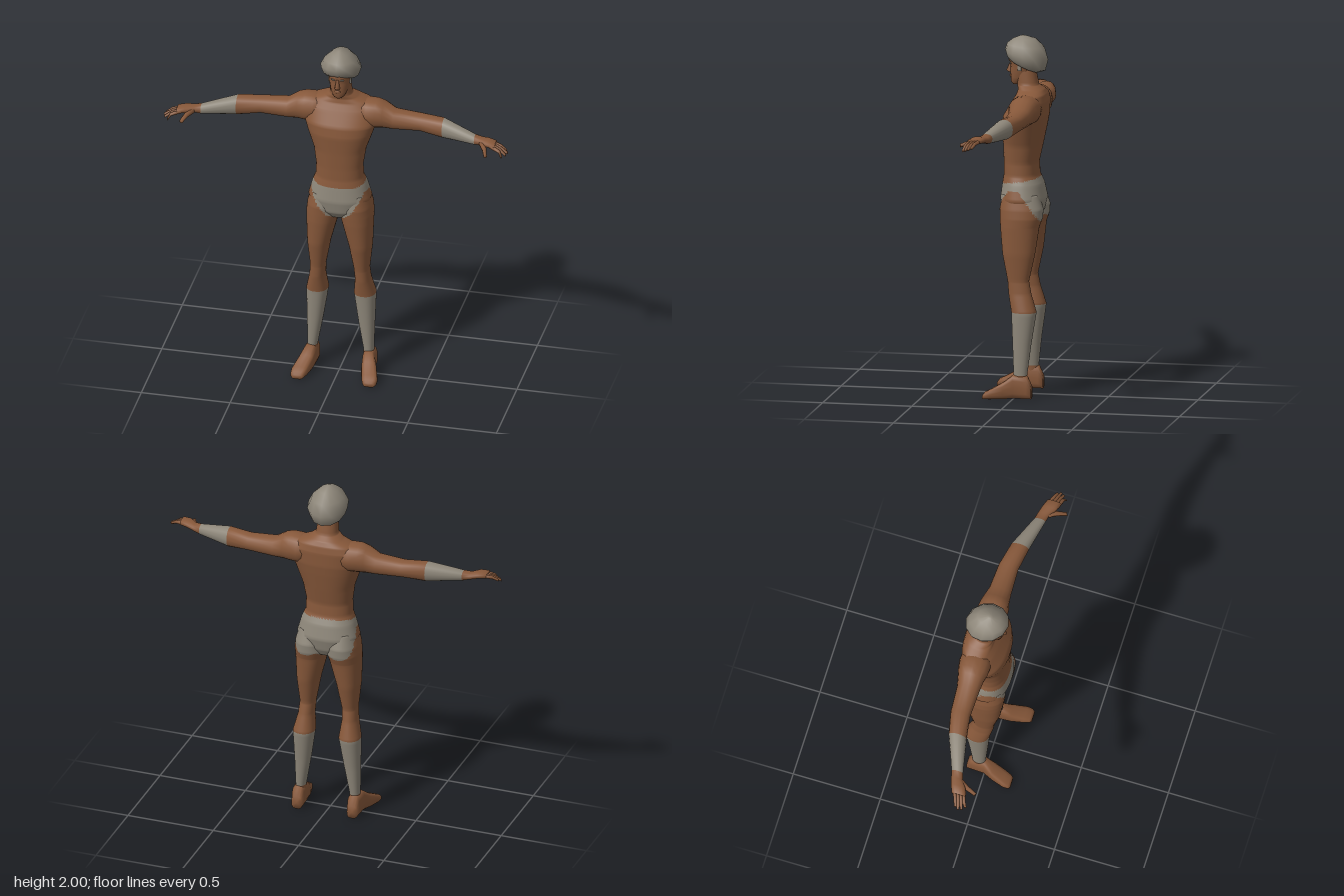
import * as THREE from 'three';

const skin = new THREE.MeshStandardMaterial({ color: 0x87583a });
skin.name = 'skin';
const cloth = new THREE.MeshStandardMaterial({ color: 0x8d8679 });
cloth.name = 'greyCloth';

const V = (x, y, z) => new THREE.Vector3(x, y, z);

// Insert evenly spaced rows between the given ones
function refine(rows, n) {
  const out = [];
  for (let i = 0; i < rows.length - 1; i++)
    for (let k = 0; k < n; k++)
      out.push(rows[i].map((a, j) => a + (rows[i + 1][j] - a) * k / n));
  out.push(rows[rows.length - 1]);
  return out;
}

// Skin a closed tube over rings {c, u, v}; the rule picks cloth (true) or skin by face centre
function loft(name, rings, { sides = 14, power = 2, base = skin, rule = null, minY = -1 } = {}) {
  const pos = [], faces = [[], []];
  const sp = t => Math.sign(t) * Math.abs(t) ** (2 / power);
  for (const r of rings)
    for (let j = 0; j < sides; j++) {
      const a = 2 * Math.PI * j / sides;
      const p = r.c.clone().addScaledVector(r.u, sp(Math.cos(a))).addScaledVector(r.v, sp(Math.sin(a)));
      pos.push(p.x, Math.max(p.y, minY), p.z);
    }
  const last = rings.length - 1;
  for (const r of [rings[0], rings[last]]) pos.push(r.c.x, r.c.y, r.c.z);
  const along = rings[last].c.clone().sub(rings[0].c);
  const flip = rings[0].u.clone().cross(rings[0].v).dot(along) < 0;
  const tri = (a, b, c) => {
    const mid = i => (pos[a * 3 + i] + pos[b * 3 + i] + pos[c * 3 + i]) / 3;
    faces[rule && rule(mid(0), mid(1), mid(2)) ? 1 : 0].push(...(flip ? [a, c, b] : [a, b, c]));
  };
  const capA = rings.length * sides, capB = capA + 1;
  for (let j = 0; j < sides; j++) {
    const k = (j + 1) % sides;
    for (let i = 0; i < last; i++) {
      const a = i * sides + j, b = i * sides + k;
      tri(a, b, b + sides);
      tri(a, b + sides, a + sides);
    }
    tri(capA, k, j);
    tri(capB, last * sides + j, last * sides + k);
  }
  const g = new THREE.BufferGeometry();
  g.setAttribute('position', new THREE.Float32BufferAttribute(pos, 3));
  g.setIndex([...faces[0], ...faces[1]]);
  g.computeVertexNormals();
  if (rule) {
    g.addGroup(0, faces[0].length, 0);
    g.addGroup(faces[0].length, faces[1].length, 1);
  }
  const m = new THREE.Mesh(g, rule ? [skin, cloth] : base);
  m.name = name;
  return m;
}

// Horizontal ring: height, x range, z range, tilt
const level = (y, x0, x1, zf, zb, tilt = 0) => {
  const rz = (zf - zb) / 2;
  return { c: V((x0 + x1) / 2, y, (zf + zb) / 2), u: V((x1 - x0) / 2, 0, 0), v: V(0, tilt * rz, rz) };
};

// Outline of the briefs on hips and thighs
function isBriefs(x, y, z) {
  const a = Math.abs(x);
  if (y > 1.2 - 0.15 * z) return false;
  const front = Math.min(0.985 + 7.5 * a * a, 1.155);
  const back = Math.max(0.965, 1.155 + 1.42 * (z + 0.025));
  return y > (z < -0.025 ? Math.min(front, back) : front);
}

// Tapered, bent finger
function finger(name, s, points, r) {
  const rings = points.map(([x, y, z], i) => {
    const q = r * (1 - 0.2 * i);
    const d = V(points[2][0] - points[0][0], 0, points[2][2] - points[0][2]).normalize();
    return { c: V(s * x, y, z), u: V(0, q, 0), v: V(-s * d.z * q, 0, d.x * q) };
  });
  return loft(name, rings, { sides: 6 });
}

function addLimbs(body, s) {
  const side = s > 0 ? 'left' : 'right';

  // Leg with a long sock: y, inner x, outer x, front z, back z
  const leg = refine([
    [1.13, 0.02, 0.16, 0.075, -0.125], [1.05, 0.004, 0.181, 0.09, -0.152],
    [1.0, 0, 0.187, 0.088, -0.148], [0.95, 0.013, 0.186, 0.085, -0.13],
    [0.8, 0.053, 0.181, 0.07, -0.11], [0.65, 0.08, 0.166, 0.04, -0.078],
    [0.58, 0.084, 0.172, 0.034, -0.092], [0.48, 0.073, 0.195, 0.017, -0.122],
    [0.3, 0.1, 0.19, 0.008, -0.095], [0.13, 0.13, 0.186, 0, -0.075], [0.08, 0.13, 0.19, 0, -0.075],
  ], 8).map(([y, a, b, f, k]) => level(y, s * a, s * b, f, k));
  leg.forEach(r => r.u.setX(Math.abs(r.u.x)));
  body.add(loft(side + 'Leg', leg, {
    sides: 40, power: 2.2, rule: (x, y, z) => (y < 0.48 && y > 0.13) || isBriefs(x, y, z),
  }));

  // Foot: z, centre x, half width, top y
  const foot = [
    [-0.1, 0.162, 0.03, 0.075], [-0.075, 0.162, 0.036, 0.13], [0, 0.165, 0.036, 0.135],
    [0.05, 0.178, 0.044, 0.095], [0.12, 0.197, 0.046, 0.055], [0.15, 0.202, 0.04, 0.04], [0.162, 0.202, 0.03, 0.025],
  ].map(([z, x, w, t]) => ({ c: V(s * x, t / 2, z), u: V(w, 0, 0), v: V(0, t / 2, 0) }));
  body.add(loft(side + 'Foot', foot, { power: 3, sides: 16 }));

  // Arm, forearm band and palm: x, top y, bottom y, front z, back z
  const arm = [
    [0.08, 1.68, 1.55, 0.01, -0.145], [0.15, 1.693, 1.53, 0.025, -0.152],
    [0.2, 1.694, 1.53, 0.022, -0.145], [0.24, 1.684, 1.533, 0.012, -0.135],
    [0.3, 1.646, 1.532, 0.005, -0.122], [0.45, 1.634, 1.54, 0, -0.112],
    [0.58, 1.637, 1.525, 0.02, -0.083], [0.77, 1.59, 1.535, 0.058, -0.008],
    [0.81, 1.583, 1.545, 0.068, 0.002], [0.85, 1.59, 1.55, 0.098, 0.014],
    [0.895, 1.585, 1.552, 0.108, 0.03],
  ].map(([x, t, b, f, k]) => ({
    c: V(s * x, (t + b) / 2, (f + k) / 2), u: V(0, (t - b) / 2, 0), v: V(0, 0, (f - k) / 2),
  }));
  body.add(loft(side + 'Arm', arm, { sides: 16, power: 2.2, rule: x => Math.abs(x) > 0.58 && Math.abs(x) < 0.77 }));

  // Fingers and thumb
  for (let i = 0; i < 4; i++) {
    const z = 0.042 + i * 0.017, tip = [0.958, 0.967, 0.96, 0.94][i];
    body.add(finger(side + 'Finger' + (i + 1), s,
      [[0.87, 1.568, z], [0.925, 1.56 - i * 0.003, z + 0.018], [tip, 1.542 - i * 0.006, z + 0.03]], 0.013));
  }
  body.add(finger(side + 'Thumb', s, [[0.81, 1.562, 0.05], [0.84, 1.552, 0.105], [0.857, 1.537, 0.155]], 0.017));

  // Eye plate and sideburn
  const eye = new THREE.Mesh(new THREE.BoxGeometry(0.022, 0.007, 0.006), cloth);
  eye.name = side + 'Eye';
  eye.position.set(s * 0.026, 1.848, 0.046);
  eye.rotation.y = s * 0.35;
  const burn = new THREE.Mesh(new THREE.BoxGeometry(0.008, 0.055, 0.022), cloth);
  burn.name = side + 'Sideburn';
  burn.position.set(s * 0.061, 1.838, -0.012);
  body.add(eye, burn);
}

export function createModel() {
  const body = new THREE.Group();
  body.name = 'figure';

  // Torso and neck: y, half width, front z, back z
  const torso = refine([
    [0.975, 0.02, 0.02, -0.08], [0.99, 0.07, 0.06, -0.11], [1.03, 0.15, 0.088, -0.135],
    [1.1, 0.175, 0.1, -0.152], [1.18, 0.153, 0.09, -0.135], [1.23, 0.133, 0.082, -0.112],
    [1.3, 0.13, 0.082, -0.108], [1.4, 0.145, 0.085, -0.13], [1.5, 0.18, 0.091, -0.15],
    [1.56, 0.2, 0.082, -0.16], [1.64, 0.2, 0.035, -0.163], [1.68, 0.165, 0.01, -0.155],
    [1.705, 0.1, 0.004, -0.14], [1.73, 0.062, 0.01, -0.108], [1.82, 0.054, 0.02, -0.09],
  ], 6).map(([y, w, f, k]) => level(y, -w, w, f, k));
  body.add(loft('torso', torso, { sides: 64, power: 2.3, rule: isBriefs }));

  // Head
  const head = [
    [1.728, 0.018, 0.036, 0], [1.742, 0.034, 0.046, -0.03], [1.77, 0.049, 0.049, -0.07],
    [1.82, 0.06, 0.05, -0.095], [1.845, 0.062, 0.047, -0.1], [1.865, 0.064, 0.06, -0.1], [1.92, 0.06, 0.05, -0.1],
  ].map(([y, w, f, k]) => level(y, -w, w, f, k));
  body.add(loft('head', head, { sides: 18, power: 2.2 }));

  // Nose and lips
  const nose = [[1.792, 0.013, 0.06, 0.03], [1.802, 0.015, 0.074, 0.03], [1.85, 0.007, 0.054, 0.03]]
    .map(([y, w, f, k]) => level(y, -w, w, f, k));
  body.add(loft('nose', nose, { sides: 8 }));
  const lips = [[1.765, 0.012, 0.05, 0.03], [1.775, 0.02, 0.056, 0.03], [1.785, 0.012, 0.05, 0.03]]
    .map(([y, w, f, k]) => level(y, -w, w, f, k));
  body.add(loft('lips', lips, { sides: 8 }));

  // Wrapped headgear, tilted down at the back
  const cap = [
    [1.835, 0.08, 0.058, -0.112, 0.45], [1.85, 0.1, 0.072, -0.145, 0.38],
    [1.895, 0.115, 0.081, -0.161, 0.22], [1.945, 0.09, 0.07, -0.142, 0.1],
    [1.983, 0.05, 0.035, -0.095, 0], [2.0, 0.012, -0.005, -0.035, 0],
  ].map(([y, w, f, k, t]) => level(y, -w, w, f, k, t));
  body.add(loft('headwrap', cap, { sides: 12, base: cloth }));

  for (const s of [1, -1]) addLimbs(body, s);
  return body;
}
